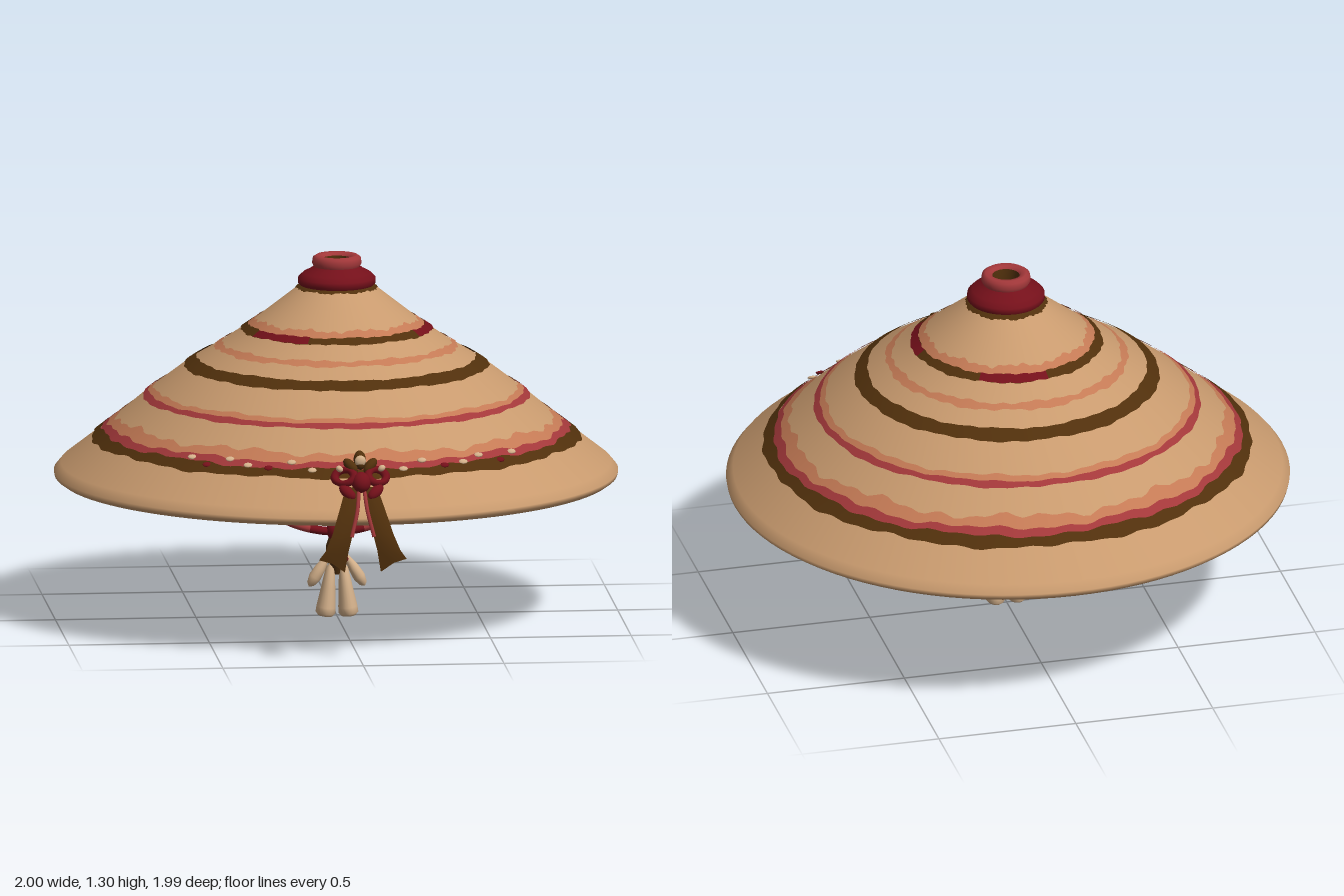
import * as THREE from 'three';

const mat = (name, color) => {
  const m = new THREE.MeshStandardMaterial({ color, side: THREE.DoubleSide });
  m.name = name;
  return m;
};
const straw = mat('straw', 0xc89a6e);
const brown = mat('dark brown', 0x51300c);
const crimson = mat('crimson', 0x74101a);
const red = mat('faded red', 0xa3383a);
const peach = mat('peach', 0xc47a55);
const cream = mat('cream', 0xd3b08a);

// Outer slope of the cone: radius, height
const slope = [[0.06, 1.235], [0.13, 1.2], [0.32, 1.05], [0.42, 0.982], [0.53, 0.915],
  [0.68, 0.8], [0.84, 0.665], [0.975, 0.56], [1, 0.53]];
function heightAt(r) {
  for (let i = 1; i < slope.length; i++) {
    const [r0, y0] = slope[i - 1], [r1, y1] = slope[i];
    if (r <= r1) return y0 + (y1 - y0) * (r - r0) / (r1 - r0);
  }
  return 0.53;
}
// The brim sits slightly back of the crown
const lean = (z, r) => z * (1 - 0.022 * r * r) + 0.01 - 0.03 * r;
const surface = (r, a, lift = 0) =>
  new THREE.Vector3(r * Math.sin(a), heightAt(r) + lift, lean(r * Math.cos(a), r));
const v2 = (list) => list.map(([x, y]) => new THREE.Vector2(x, y));
const v3 = (list) => list.map((p) => new THREE.Vector3(...p));

function add(parent, name, geometry, material, pos = [0, 0, 0], rot = [0, 0, 0], scale = [1, 1, 1]) {
  const m = new THREE.Mesh(geometry, material);
  m.name = name;
  m.position.set(...pos);
  m.rotation.set(...rot);
  m.scale.set(...scale);
  parent.add(m);
  return m;
}

function leaningLathe(points, segments = 96) {
  const g = new THREE.LatheGeometry(v2(points), segments);
  const p = g.attributes.position;
  for (let i = 0; i < p.count; i++) p.setZ(i, lean(p.getZ(i), Math.hypot(p.getX(i), p.getZ(i))));
  return g;
}

// Painted ring that hugs the cone, with uneven edges
function band(parent, name, material, r0, r1, lift, wobble = 0.004, start = 0, length = Math.PI * 2) {
  const radii = [r1, (r0 + r1) / 2, r0];
  const g = new THREE.LatheGeometry(v2(radii.map((r) => [r, heightAt(r)])), 180, start, length);
  const p = g.attributes.position;
  for (let i = 0; i < p.count; i++) {
    const row = i % 3, a = Math.atan2(p.getX(i), p.getZ(i));
    const wave = Math.sin(a * 9 + row * 2 + r0 * 40) + 0.7 * Math.sin(a * 23 + row) + 0.8 * Math.sin(a * 41 + r1 * 30);
    const s = surface(radii[row] + (row === 1 ? 0 : wave * wobble * 0.6), a, lift);
    p.setXYZ(i, s.x, s.y, s.z);
  }
  add(parent, name, g, material);
}

function buildHat(root) {
  const hat = new THREE.Group();
  hat.name = 'hat';
  root.add(hat);
  add(hat, 'strawCone', leaningLathe([[0.955, 0.507], [0.98, 0.503], [0.997, 0.515],
    ...slope.slice().reverse()]), straw);
  add(hat, 'lining', leaningLathe([[0.05, 1.215], [0.13, 1.175], [0.53, 0.885], [0.84, 0.635], [0.94, 0.545], [0.957, 0.507]]), brown);

  // Painted rings, from the crown outward
  band(hat, 'crownRing', brown, 0.115, 0.145, 0.004, 0.003);
  band(hat, 'upperPeachRing', peach, 0.285, 0.32, 0.004, 0.007);
  band(hat, 'upperBrownRing', brown, 0.312, 0.34, 0.006, 0.003);
  for (const a of [-1.15, 0.95, 2.6]) band(hat, 'upperRedStroke', crimson, 0.313, 0.341, 0.008, 0.002, a, 0.75);
  band(hat, 'thinPeachRing', peach, 0.405, 0.43, 0.004, 0.005);
  band(hat, 'broadBrownRing', brown, 0.495, 0.54, 0.005, 0.003);
  band(hat, 'middlePeachRing', peach, 0.645, 0.672, 0.004, 0.005);
  band(hat, 'middleRedRing', red, 0.665, 0.685, 0.006, 0.003);
  band(hat, 'lowerPeachRing', peach, 0.77, 0.82, 0.004, 0.012);
  band(hat, 'lowerRedRing', red, 0.805, 0.84, 0.006, 0.007);
  band(hat, 'lowerBrownRing', brown, 0.83, 0.866, 0.008, 0.006);

  // Pale flecks along the front of the lower ring
  for (let i = 1; i <= 7; i++) for (const side of [-1, 1]) {
    const a = side * (0.1 + i * 0.095), s = surface(0.825 + 0.015 * Math.sin(i * 2.3), a, 0.01);
    add(hat, 'fleck', new THREE.SphereGeometry(0.014, 8, 6), i % 3 ? cream : crimson,
      s.toArray(), [0.7, 0, 0], [1.2, 0.4, 0.8]);
  }

  // Open knob on the peak
  const knob = new THREE.Group();
  knob.name = 'knob';
  knob.position.z = 0.01;
  hat.add(knob);
  const lathe = (pts) => new THREE.LatheGeometry(v2(pts), 40);
  add(knob, 'knobBase', lathe([[0.125, 1.195], [0.138, 1.21], [0.137, 1.228], [0.12, 1.245], [0.095, 1.258], [0.082, 1.268]]), crimson);
  add(knob, 'knobCap', lathe([[0.08, 1.265], [0.088, 1.28], [0.085, 1.3], [0.073, 1.308], [0.055, 1.305], [0.048, 1.295]]), red);
  add(knob, 'knobHole', lathe([[0.048, 1.296], [0.045, 1.25], [0.05, 1.21]]), brown);
  add(knob, 'knobBar', new THREE.CylinderGeometry(0.014, 0.014, 0.094, 12), red, [0, 1.25, 0], [0, 0, Math.PI / 2]);
}

// Ribbon strip with a notched end, following the brim and then hanging
function ribbonTail(side) {
  const rows = [[0.03, 0.64, 0.925, 0.025], [0.05, 0.56, 0.96, 0.032], [0.072, 0.48, 0.982, 0.036],
    [0.092, 0.42, 0.985, 0.041], [0.11, 0.368, 0.98, 0.046]];
  const pos = [], idx = [];
  rows.forEach(([x, y, z, w], i) => {
    for (let j = -1; j <= 1; j++) {
      const drop = i === 4 ? (j < 0 ? -0.025 : j === 0 ? 0.008 : 0.02) : 0;
      pos.push(side * (x + j * w), y + drop, z + (j === 0 ? 0.008 : 0));
    }
    if (i) for (let j = 0; j < 2; j++) {
      const a = i * 3 + j, b = a - 3;
      if (side > 0) idx.push(a, a + 1, b, a + 1, b + 1, b);
      else idx.push(a, b, a + 1, a + 1, b, b + 1);
    }
  });
  const g = new THREE.BufferGeometry();
  g.setAttribute('position', new THREE.Float32BufferAttribute(pos, 3));
  g.setIndex(idx);
  g.computeVertexNormals();
  return g;
}

function buildBow(root) {
  const bow = new THREE.Group();
  bow.name = 'bow';
  root.add(bow);
  const ball = new THREE.SphereGeometry(1, 16, 12);
  add(bow, 'knot', ball, crimson, [0, 0.655, 0.92], [-0.7, 0, 0], [0.035, 0.038, 0.035]);
  for (const s of [-1, 1]) {
    add(bow, 'ribbonTail', ribbonTail(s), brown);
    const edge = new THREE.CatmullRomCurve3(v3([[s * 0.01, 0.63, 0.93], [s * 0.018, 0.56, 0.964], [s * 0.04, 0.47, 0.985]]));
    add(bow, 'ribbonEdge', new THREE.TubeGeometry(edge, 10, 0.007, 6), red);
    add(bow, 'sideLoop', new THREE.TorusGeometry(0.032, 0.014, 8, 20), crimson, [s * 0.058, 0.672, 0.9], [-0.7, s * 0.4, s * 0.3], [1.15, 0.85, 1]);
    add(bow, 'lowerPetal', ball, crimson, [s * 0.05, 0.622, 0.93], [-0.6, 0, s * 0.8], [0.036, 0.02, 0.018]);
    add(bow, 'upperPetal', ball, brown, [s * 0.035, 0.708, 0.885], [-0.6, 0, s * 0.9], [0.034, 0.018, 0.02]);
    add(bow, 'petalTip', ball, cream, [s * 0.075, 0.7, 0.895], [0, 0, s * 0.6], [0.014, 0.011, 0.012]);
  }
  add(bow, 'topLoop', ball, brown, [0, 0.725, 0.865], [-0.6, 0, 0], [0.022, 0.036, 0.026]);
  add(bow, 'topFleck', ball, cream, [0, 0.725, 0.884], [0, 0, 0], [0.02, 0.02, 0.012]);
}

function buildCord(root) {
  const path = new THREE.CatmullRomCurve3(v3([[-0.46, 0.89, 0.01], [-0.425, 0.7, 0.01], [-0.33, 0.505, 0.01],
    [-0.2, 0.365, 0.01], [0, 0.312, 0.01], [0.2, 0.365, 0.01], [0.33, 0.505, 0.01], [0.425, 0.7, 0.01], [0.46, 0.89, 0.01]]));
  // Worn coloured lengths along one cord
  const lengths = [[0, 0.1, brown], [0.1, 0.27, red], [0.27, 0.32, peach], [0.32, 0.44, red], [0.44, 0.56, crimson],
    [0.56, 0.68, red], [0.68, 0.74, brown], [0.74, 0.8, cream], [0.8, 0.94, red], [0.94, 1, cream]];
  for (const [a, b, m] of lengths) {
    const pts = Array.from({ length: 9 }, (_, i) => path.getPointAt(a + (b - a) * i / 8));
    add(root, 'chinCord', new THREE.TubeGeometry(new THREE.CatmullRomCurve3(pts), 12, 0.015, 10), m);
  }
}

function buildTassel(root) {
  const tassel = new THREE.Group();
  tassel.name = 'tassel';
  tassel.position.z = 0.015;
  root.add(tassel);
  const lathe = (pts, n = 18) => new THREE.LatheGeometry(v2(pts), n);
  add(tassel, 'tasselKnot', lathe([[0, 0.285], [0.03, 0.29], [0.036, 0.31], [0.036, 0.33], [0.025, 0.342], [0, 0.343]]), crimson);
  add(tassel, 'tasselBinding', lathe([[0.012, 0.16], [0.024, 0.19], [0.038, 0.235], [0.038, 0.265], [0.028, 0.295]]), brown);
  add(tassel, 'bindingBand', new THREE.TorusGeometry(0.033, 0.009, 8, 20), crimson, [0, 0.215, 0], [Math.PI / 2, 0, 0]);
  for (const s of [-1, 1]) {
    // Flared strands with rounded ends
    add(tassel, 'frontStrand', lathe([[0, 0.01], [0.026, 0.008], [0.035, 0.018], [0.034, 0.04], [0.025, 0.11], [0.016, 0.18], [0, 0.2]]),
      cream, [s * 0.043, 0.004, 0], [0, 0, s * 0.11], [1, 1, 1.4]);
    add(tassel, 'sideStrand', lathe([[0, 0], [0.014, 0.012], [0.022, 0.04], [0.019, 0.08], [0.008, 0.13], [0, 0.135]]),
      cream, [s * 0.1, 0.115, 0], [0, 0, s * 0.55], [1, 1, 1.1]);
  }
}

export function createModel() {
  const root = new THREE.Group();
  root.name = 'conicalHat';
  buildHat(root);
  buildBow(root);
  buildCord(root);
  buildTassel(root);
  return root;
}
